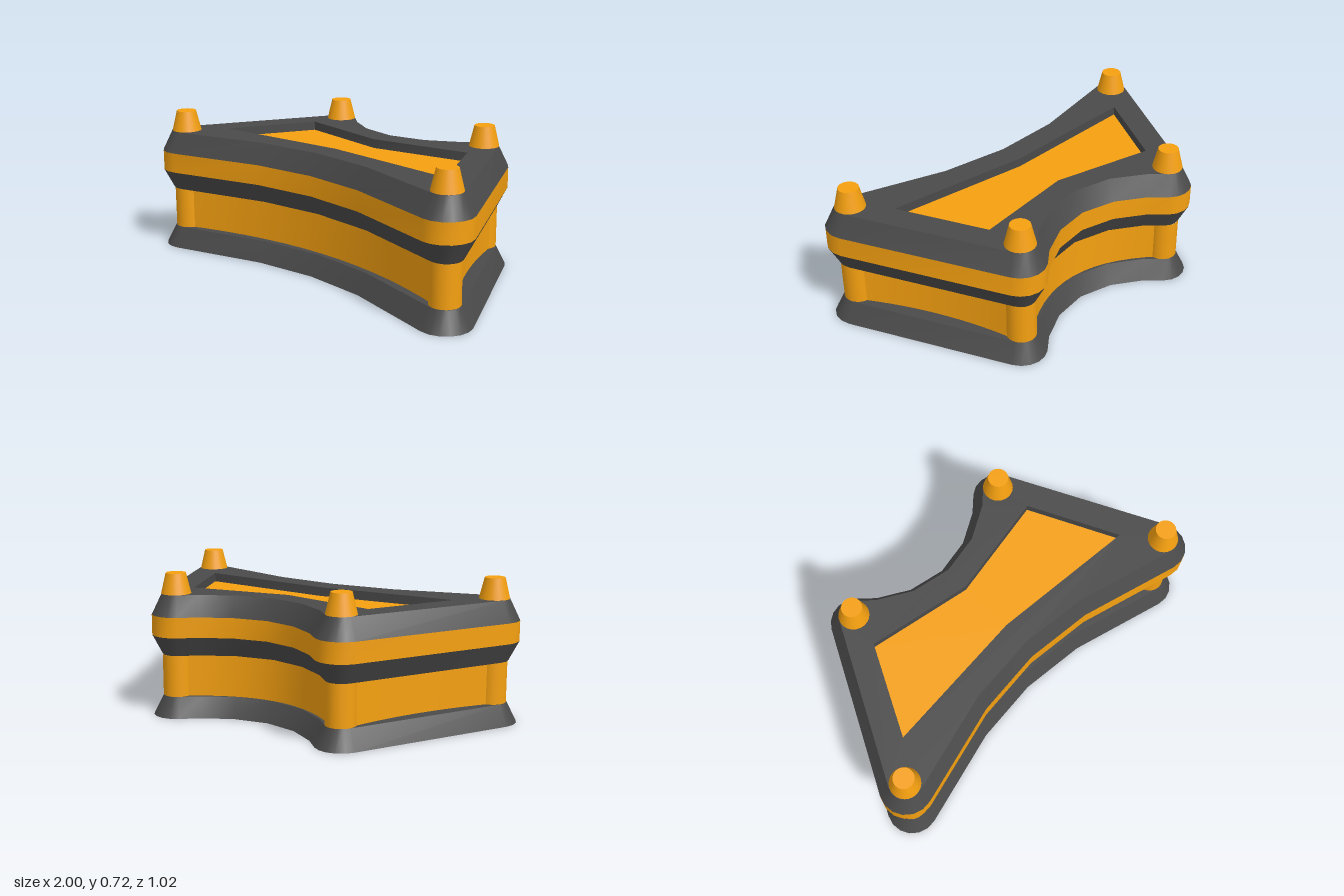
import * as THREE from 'three';
import { toCreasedNormals } from 'three/addons/utils/BufferGeometryUtils.js';

const dark = new THREE.MeshStandardMaterial({ color: 0x4a4a4a });
const orange = new THREE.MeshStandardMaterial({ color: 0xf5a010 });
const V = (x, y) => new THREE.Vector2(x, y);

// Plan points use x and y = -z, counter-clockwise seen from above.
const mirrorLoop = (half) => [
  ...half,
  ...half.slice(1, -1).reverse().map((p) => V(-p.x, p.y)),
];

function arc(c, r, fromDeg, toDeg, steps) {
  return Array.from({ length: steps + 1 }, (_, i) => {
    const a = THREE.MathUtils.degToRad(fromDeg + ((toDeg - fromDeg) * i) / steps);
    return V(c.x + r * Math.cos(a), c.y + r * Math.sin(a));
  });
}

// Move every edge of a loop inward by d
function inset(loop, d) {
  const n = loop.length;
  return loop.map((p, i) => {
    const e1 = p.clone().sub(loop[(i + n - 1) % n]).normalize();
    const e2 = loop[(i + 1) % n].clone().sub(p).normalize();
    const m = V(-e1.y - e2.y, e1.x + e2.x).normalize();
    const cos = m.x * -e1.y + m.y * e1.x;
    return p.clone().addScaledVector(m, d / cos);
  });
}

// Band of quads between two loops of equal length
function band(lower, y0, upper, y1) {
  const pos = [];
  const n = lower.length;
  for (let i = 0; i < n; i++) {
    const j = (i + 1) % n;
    const a = [lower[i].x, y0, -lower[i].y], b = [lower[j].x, y0, -lower[j].y];
    const c = [upper[j].x, y1, -upper[j].y], d = [upper[i].x, y1, -upper[i].y];
    pos.push(...a, ...b, ...c, ...a, ...c, ...d);
  }
  const g = new THREE.BufferGeometry();
  g.setAttribute('position', new THREE.Float32BufferAttribute(pos, 3));
  return toCreasedNormals(g, 0.6);
}

// Flat cap, facing up or down, with an optional hole
function cap(loop, y, up = true, hole = null) {
  const shape = new THREE.Shape(up ? loop : loop.map((p) => V(p.x, -p.y)));
  if (hole) shape.holes.push(new THREE.Path(hole));
  return new THREE.ShapeGeometry(shape).rotateX(up ? -Math.PI / 2 : Math.PI / 2).translate(0, y, 0);
}

export function createModel() {
  const model = new THREE.Group();
  const add = (name, geometry, material) => {
    const mesh = new THREE.Mesh(geometry, material);
    mesh.name = name;
    model.add(mesh);
    return mesh;
  };

  const frontCorner = V(0.872, -0.382), backCorner = V(0.488, 0.388);
  const outer = mirrorLoop([
    V(0, -0.34), V(0.34, -0.372),
    ...arc(frontCorner, 0.128, -105, 26.5, 6),
    ...arc(backCorner, 0.124, 26.5, 130, 5),
    V(0.33, 0.41), V(0.18, 0.325), V(0, 0.29),
  ]);
  const inner = inset(outer, 0.05);

  // Bevelled base plate
  add('baseBottom', cap(outer, 0, false), dark);
  add('baseRim', band(outer, 0, inner, 0.1), dark);
  add('baseTop', cap(inner, 0.1), dark);

  // Waist wall, bowed inward between the corner posts
  const bow = (a, c, b) => new THREE.QuadraticBezierCurve(a, c, b).getPoints(14);
  const waist = [
    ...bow(V(-0.86, -0.43), V(0, -0.1), V(0.86, -0.43)),
    ...bow(V(0.925, -0.37), V(0.655, -0.015), V(0.545, 0.4)),
    ...bow(V(0.45, 0.42), V(0, 0.05), V(-0.45, 0.42)),
    ...bow(V(-0.545, 0.4), V(-0.655, -0.015), V(-0.925, -0.37)),
  ];
  add('waistWall', band(waist, 0.1, waist, 0.31), orange);

  // Upper body: lower bevel, coloured stripe, upper bevel
  add('upperBodyBottom', cap(inner, 0.31, false), dark);
  add('lowerBevel', band(inner, 0.31, outer, 0.41), dark);
  add('stripe', band(outer, 0.41, outer, 0.512), orange);
  add('upperBevel', band(outer, 0.512, inner, 0.615), dark);

  // Top face with a sunken panel
  const panel = mirrorLoop([V(0, -0.163), V(0.733, -0.22), V(0.52, 0.212), V(0, 0.117)]);
  const panelReversed = [...panel].reverse();
  add('topFace', cap(inner, 0.615, true, panelReversed), dark);
  add('panelRecessWalls', band(panelReversed, 0.57, panelReversed, 0.615), dark);
  add('panel', cap(panel, 0.57), orange);

  // Corner posts in the waist and tapered pegs on top
  for (const corner of [frontCorner, backCorner]) {
    for (const side of [1, -1]) {
      const post = add('cornerPost', new THREE.CylinderGeometry(0.074, 0.074, 0.21, 24, 1, true), orange);
      post.position.set(side * corner.x, 0.205, -corner.y);
      const peg = add('topPeg', new THREE.CylinderGeometry(0.05, 0.075, 0.103, 24), orange);
      peg.position.set(side * corner.x, 0.6665, -corner.y);
    }
  }
  return model;
}
